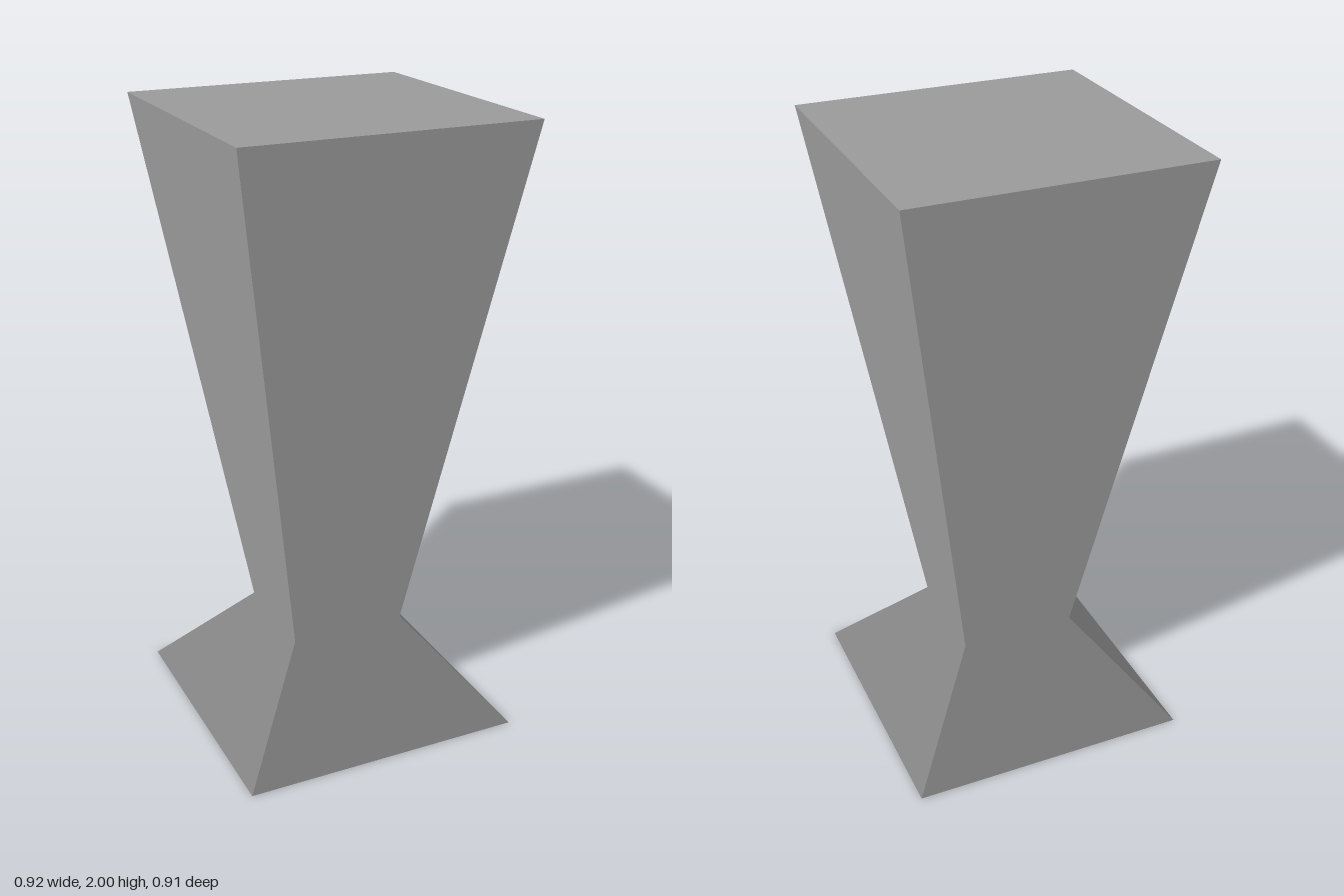
import * as THREE from 'three';

// Half-width (x), half-depth (z) and height of each ring, from the foot up
const rings = [
  { y: 0, x: 0.46, z: 0.454 },
  { y: 0.325, x: 0.19, z: 0.175 },
  { y: 2, x: 0.46, z: 0.454 },
];

export function createModel() {
  const group = new THREE.Group();
  group.name = 'pedestal';

  const stone = new THREE.MeshStandardMaterial({ color: 0x999999 });
  stone.name = 'grey stone';

  // Square column pinched at the waist; the box normals are kept so each
  // side shades evenly across the bend
  const geometry = new THREE.BoxGeometry(2, 2, 2, 1, 2, 1);
  const p = geometry.attributes.position;
  for (let i = 0; i < p.count; i++) {
    const ring = rings[Math.round(p.getY(i)) + 1];
    p.setXYZ(i, Math.sign(p.getX(i)) * ring.x, ring.y, Math.sign(p.getZ(i)) * ring.z);
  }

  const column = new THREE.Mesh(geometry, stone);
  column.name = 'column';
  group.add(column);
  return group;
}
